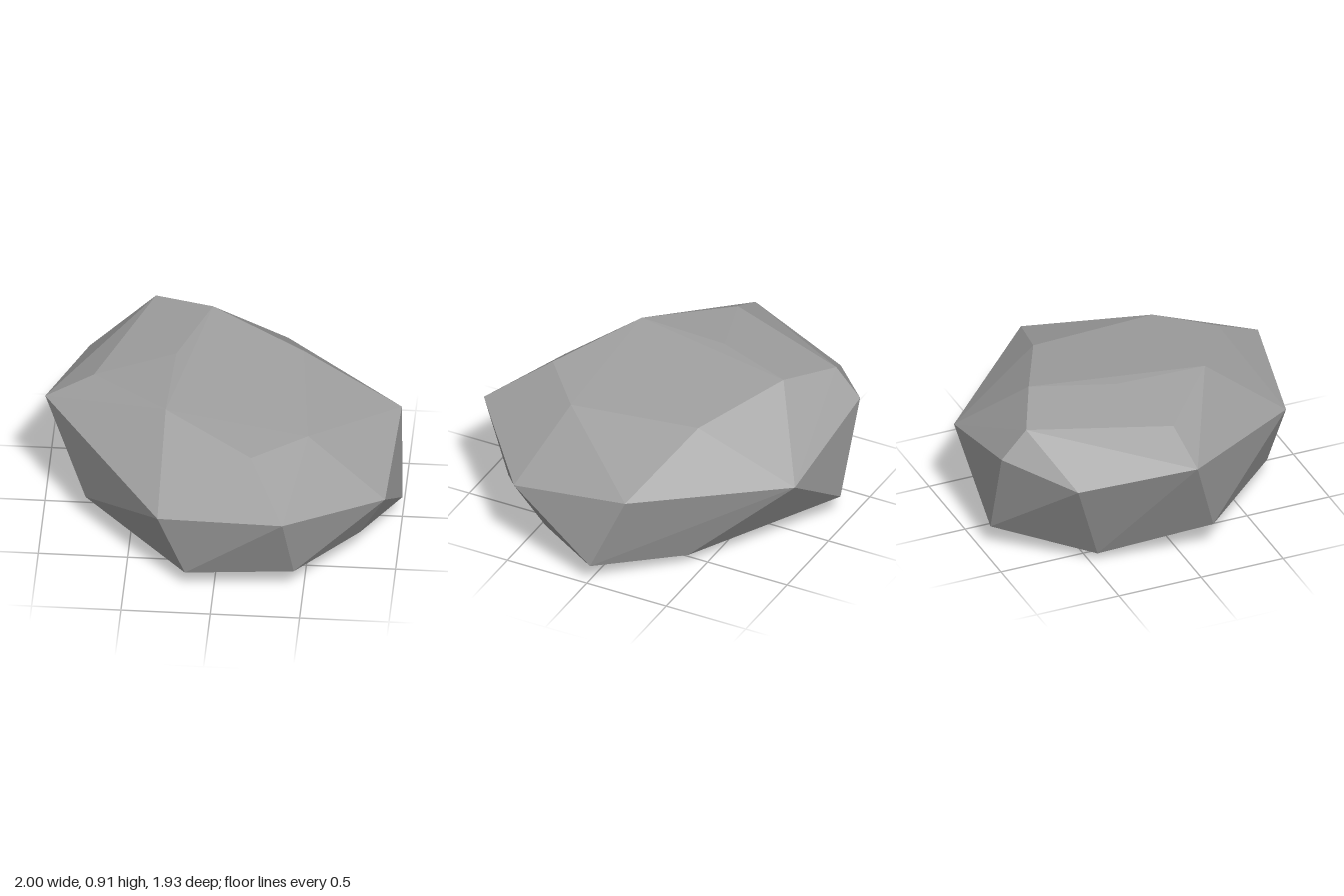
import * as THREE from 'three';
import { ConvexGeometry } from 'three/addons/geometries/ConvexGeometry.js';

// Corner rings of the boulder, each going round from the -x side
const crown = [
  [-0.73, 0.85, -0.05], [-0.61, 0.8, -0.52], [-0.44, 0.85, -0.82], [-0.11, 0.91, -0.66],
  [0.42, 0.82, -0.4], [0.5, 0.79, 0.36], [0.2, 0.82, 0.63], [-0.3, 0.91, 0.33],
  [-0.28, 0.91, -0.2],
];
const rim = [
  [-1, 0.71, -0.02], [-0.8, 0.6, -0.66], [-0.44, 0.69, -0.97], [0.29, 0.51, -0.94],
  [0.98, 0.59, -0.23], [0.94, 0.47, 0.49], [0.4, 0.6, 0.96], [-0.31, 0.51, 0.82],
];
const foot = [
  [-0.76, 0.17, 0.18], [-0.61, 0.05, -0.46], [-0.24, 0.14, -0.95], [0.58, 0.07, -0.42],
  [1, 0.12, -0.02], [0.79, 0.15, 0.37], [0.45, 0.16, 0.78], [-0.16, 0.11, 0.77],
  [0.3, 0, 0.04],
];

export function createModel() {
  const group = new THREE.Group();
  group.name = 'rock';

  const stone = new THREE.MeshStandardMaterial({ color: 0xa0a0a0, flatShading: true });
  stone.name = 'stone grey';

  // Faceted boulder stretched over the three rings
  const points = [...crown, ...rim, ...foot].map((p) => new THREE.Vector3(...p));
  const boulder = new THREE.Mesh(new ConvexGeometry(points), stone);
  boulder.name = 'boulder';
  group.add(boulder);

  return group;
}
